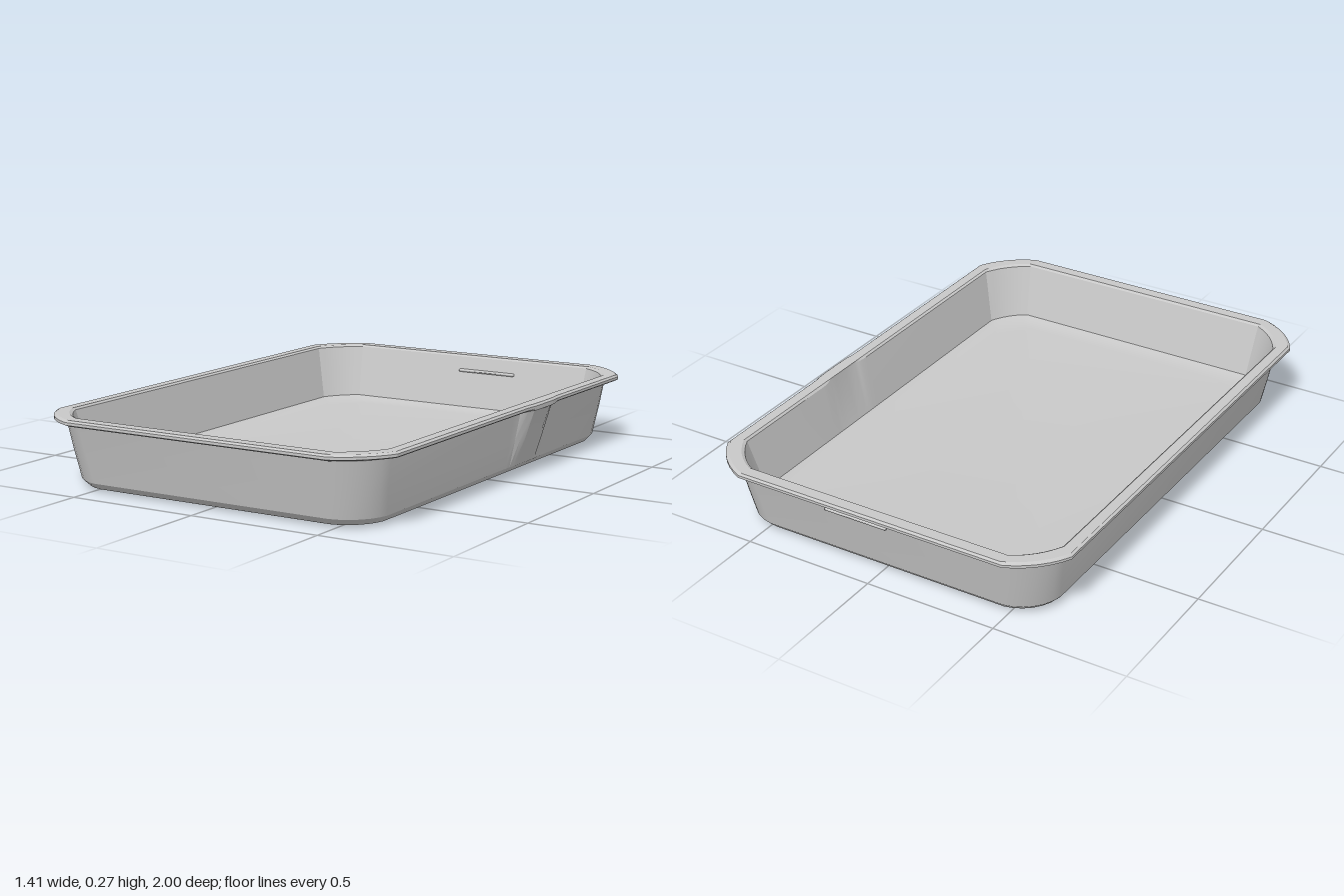
import * as THREE from 'three';
import { toCreasedNormals } from 'three/addons/utils/BufferGeometryUtils.js';

// z positions along the long +x side, where the pouring notch swells outward
const NOTCH_Z = [-0.34, -0.31, -0.28, -0.25, -0.19, -0.13, -0.11, -0.09, -0.06];
const CORNER_STEPS = 6;

// Cross-sections: half width, half length, height, corner x cut, corner z cut, roundness, notch swell
const SECTIONS = [
  [0.575, 0.855, 0.0, 0.12, 0.12, 0.8, 0],
  [0.602, 0.885, 0.009, 0.13, 0.13, 0.8, 0],
  [0.622, 0.907, 0.032, 0.14, 0.14, 0.8, 0.005],
  [0.639, 0.929, 0.135, 0.14, 0.14, 0.75, 0.026],
  [0.655, 0.95, 0.235, 0.14, 0.15, 0.7, 0.045],
  [0.662, 0.957, 0.242, 0.14, 0.15, 0.6, 0.042],
  [0.692, 0.985, 0.244, 0.17, 0.16, 0.45, 0.016],
  [0.702, 0.998, 0.25, 0.17, 0.16, 0.45, 0.006],
  [0.702, 0.998, 0.26, 0.17, 0.16, 0.45, 0.006],
  [0.694, 0.99, 0.267, 0.17, 0.16, 0.45, 0.006],
  [0.656, 0.946, 0.267, 0.13, 0.14, 0.4, 0],
  [0.648, 0.938, 0.26, 0.13, 0.14, 0.4, 0.008],
  [0.602, 0.884, 0.064, 0.1, 0.12, 0.4, 0],
  [0.575, 0.857, 0.053, 0.1, 0.12, 0.4, 0],
  [0.53, 0.81, 0.048, 0.1, 0.12, 0.4, 0],
];

// One closed loop: four softened chamfers, then extra points for the notch
function ring([hx, hz, y, cx, cz, round, swell]) {
  const points = [];
  [[1, 1], [-1, 1], [-1, -1], [1, -1]].forEach(([sx, sz], corner) => {
    for (let i = 0; i <= CORNER_STEPS; i++) {
      const t = corner % 2 ? 1 - i / CORNER_STEPS : i / CORNER_STEPS;
      const a = t * Math.PI / 2;
      const u = THREE.MathUtils.lerp(1 - t, Math.cos(a), round);
      const v = THREE.MathUtils.lerp(t, Math.sin(a), round);
      points.push([sx * (hx - cx + cx * u), y, sz * (hz - cz + cz * v)]);
    }
  });
  for (const z of NOTCH_Z) {
    const k = 1 - THREE.MathUtils.smoothstep(Math.abs(z + 0.2), 0.06, 0.13);
    points.push([hx + swell * k, y, z]);
  }
  return points;
}

// Skin the loops from the underside, over the rim and down to the floor
function trayGeometry() {
  const rings = SECTIONS.map(ring);
  const n = rings[0].length;
  const positions = rings.flat(2);
  const index = [];
  for (let r = 0; r < rings.length - 1; r++) {
    for (let i = 0; i < n; i++) {
      const a = r * n + i, b = r * n + (i + 1) % n;
      index.push(a, a + n, b, b, a + n, b + n);
    }
  }
  // Underside and floor caps
  const under = rings.length * n, floor = under + 1, last = (rings.length - 1) * n;
  positions.push(0, SECTIONS[0][2], 0, 0, SECTIONS[SECTIONS.length - 1][2], 0);
  for (let i = 0; i < n; i++) {
    const j = (i + 1) % n;
    index.push(under, i, j, last + i, floor, last + j);
  }
  const geometry = new THREE.BufferGeometry();
  geometry.setAttribute('position', new THREE.Float32BufferAttribute(positions, 3));
  geometry.setIndex(index);
  return toCreasedNormals(geometry, 0.35);
}

export function createModel() {
  const model = new THREE.Group();
  model.name = 'bakingTray';
  const metal = new THREE.MeshStandardMaterial({ color: 0xc8c8c8 });
  metal.name = 'greyMetal';

  const tray = new THREE.Mesh(trayGeometry(), metal);
  tray.name = 'trayBody';
  model.add(tray);

  // Thin ridge pressed through the back wall, standing out on both faces
  const ridge = new THREE.Mesh(new THREE.CapsuleGeometry(0.008, 0.24, 4, 10), metal);
  ridge.name = 'backWallRidge';
  ridge.rotation.z = Math.PI / 2;
  ridge.scale.z = 2.4;
  ridge.position.set(0.08, 0.205, -0.934);
  model.add(ridge);

  return model;
}
